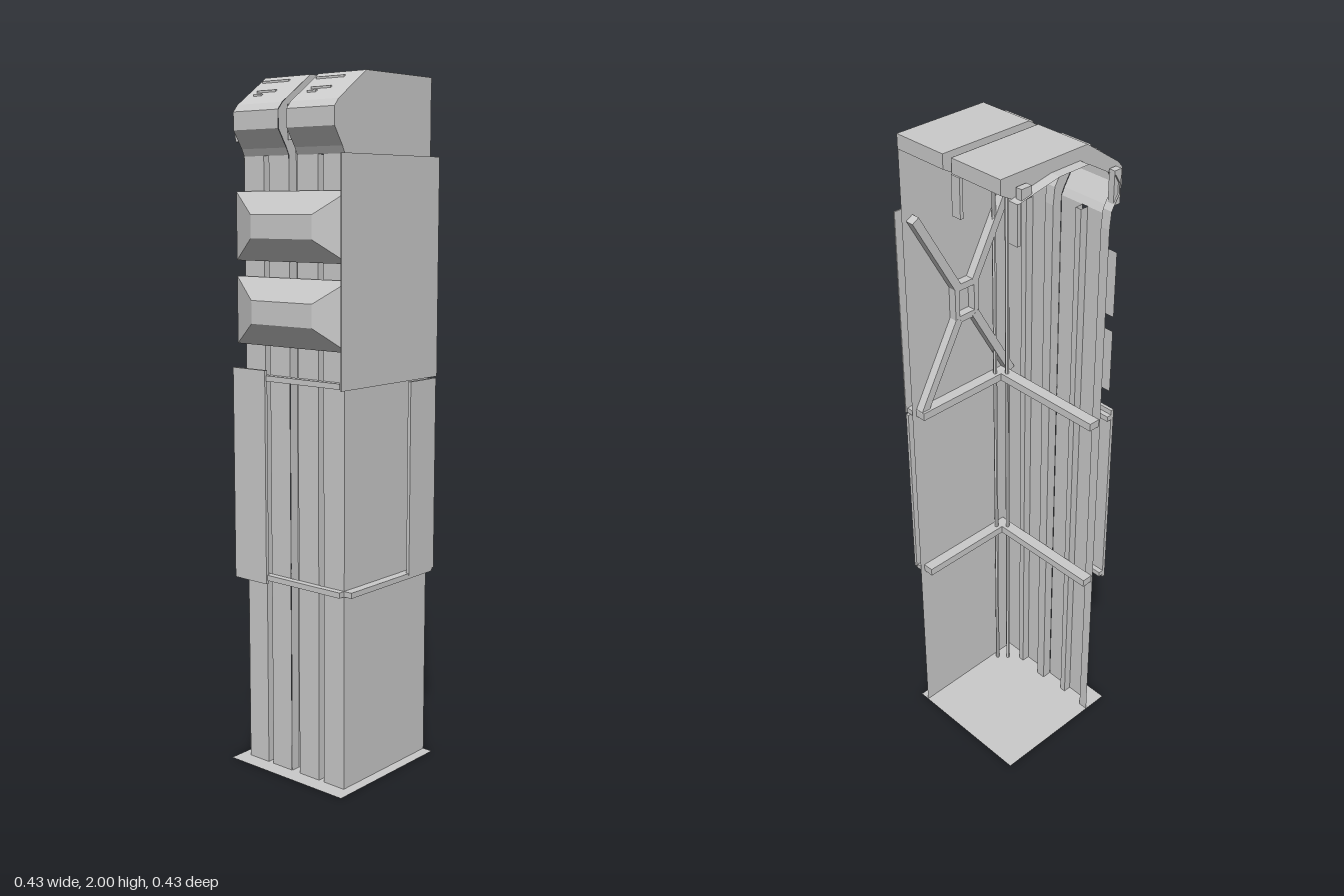
import * as THREE from 'three';

const mat = new THREE.MeshStandardMaterial({ color: 0xcccccc, flatShading: true, side: THREE.DoubleSide });

// Outer skin and recessed channel side profiles as [z, y], matched point by point
const SKIN = [[0.165, 0], [0.165, 1.78], [0.175, 1.80], [0.207, 1.85], [0.207, 1.9], [0.19, 1.92], [0.075, 2], [-0.215, 2], [-0.215, 1.96]];
const GROOVE = [[0.135, 0], [0.135, 1.76], [0.14, 1.81], [0.165, 1.85], [0.165, 1.88], [0.15, 1.905], [0.05, 1.965], [-0.05, 1.965], [-0.18, 1.94]];

export function createModel() {
  const model = new THREE.Group();

  const add = (name, geo, parent = model) => {
    const m = new THREE.Mesh(geo, mat);
    m.name = name;
    parent.add(m);
    return m;
  };
  const group = (name) => {
    const g = new THREE.Group();
    g.name = name;
    model.add(g);
    return g;
  };
  // Box given by its low and high corners
  const box = (name, x0, x1, y0, y1, z0, z1, parent) => {
    const m = add(name, new THREE.BoxGeometry(x1 - x0, y1 - y0, z1 - z0), parent);
    m.position.set((x0 + x1) / 2, (y0 + y1) / 2, (z0 + z1) / 2);
    return m;
  };
  // Sheet between two profiles, each lying at its own x
  const sheet = (name, a, xa, b, xb, parent) => {
    const pos = [];
    for (let i = 0; i < a.length - 1; i++) {
      const A = [xa, a[i][1], a[i][0]], B = [xb, b[i][1], b[i][0]];
      const C = [xb, b[i + 1][1], b[i + 1][0]], D = [xa, a[i + 1][1], a[i + 1][0]];
      pos.push(...A, ...B, ...C, ...A, ...C, ...D);
    }
    const g = new THREE.BufferGeometry();
    g.setAttribute('position', new THREE.Float32BufferAttribute(pos, 3));
    g.computeVertexNormals();
    return add(name, g, parent);
  };

  // Ground plate
  const plate = add('groundPlate', new THREE.PlaneGeometry(0.43, 0.43));
  plate.rotation.x = -Math.PI / 2;

  // Side wall cut to the outline of the head
  const outline = new THREE.Shape([...SKIN.slice(0, 8), [-0.215, 0]].map(([z, y]) => new THREE.Vector2(-z, y)));
  const side = add('sideWall', new THREE.ShapeGeometry(outline));
  side.rotation.y = Math.PI / 2;
  side.position.x = 0.183;

  // Two bays, each with a curved head, two front panels and narrow grooves
  const lower = SKIN.slice(0, 2), head = SKIN.slice(1);
  for (const x of [-0.185, 0.015]) {
    const bay = group('bay');
    const end = x + 0.169;
    sheet('headShell', head, x, head, end, bay);
    sheet('frontPanel', lower, x, lower, x + 0.075, bay);
    sheet('frontPanel', lower, x + 0.094, lower, end, bay);
    // narrow groove between the panels
    const deep = [[0.14, 0], [0.14, 1.78]];
    sheet('narrowGroove', deep, x + 0.075, deep, x + 0.094, bay);
    for (const gx of [x + 0.075, x + 0.094]) sheet('grooveSide', lower, gx, deep, gx, bay);
    // wide channel running up and over the head
    sheet('channelBed', GROOVE, x - 0.03, GROOVE, x, bay);
    sheet('channelSide', SKIN, x, GROOVE, x, bay);
    if (x > 0) sheet('channelSide', SKIN, x - 0.03, GROOVE, x - 0.03, bay);
    // hanging end of the channel and its clips
    box('channelEnd', x - 0.03, x, 1.83, 1.94, -0.19, -0.18, bay);
    box('rearClip', x - 0.025, x - 0.006, 1.94, 1.97, -0.172, -0.138, bay);
    box('frontClip', x - 0.025, x - 0.006, 1.82, 1.915, 0.15, 0.175, bay);
    // slim vents on the sloping face
    [[0.01, 0.11, 1.985], [0.03, 0.1, 1.955], [0.03, 0.06, 1.945]].forEach(([a, b, y]) => {
      const z = 0.19 - (y - 1.92) * 1.44;
      box('vent', x + a, x + b, y - 0.002, y + 0.004, z - 0.004, z + 0.003, bay);
    });
  }

  // Bevelled pods across the front
  for (const y of [1.35, 1.5875]) {
    const g = new THREE.BoxGeometry(0.418, 0.193, 0.043);
    const p = g.attributes.position;
    for (let i = 0; i < p.count; i++) {
      if (p.getZ(i) > 0) p.setXY(i, p.getX(i) * 0.54, p.getY(i) * 0.34);
    }
    g.computeVertexNormals();
    add('frontPod', g).position.set(-0.004, y, 0.192);
  }

  // Stand-off panels on the front and side
  box('frontStandoffPanel', -0.215, -0.09, 0.56, 1.185, 0.18, 0.19);
  box('sideStandoffPanel', 0.202, 0.212, 0.58, 1.15, -0.215, -0.095);
  box('upperSidePanel', 0.211, 0.215, 1.155, 1.78, -0.215, 0.215);

  // Horizontal rails wrapping the corner, outside and inside
  for (const y of [0.578, 1.162]) {
    const rail = group('cornerRail');
    box('outerSideRail', 0.183, 0.21, y - 0.008, y + 0.008, -0.21, 0.165, rail);
    box('outerFrontRail', -0.215, 0.183, y - 0.008, y + 0.008, 0.165, 0.185, rail);
    box('innerSideRail', 0.15, 0.183, y - 0.012, y + 0.012, -0.2, 0.13, rail);
    box('innerFrontRail', -0.21, 0.183, y - 0.012, y + 0.012, 0.1, 0.135, rail);
  }

  // Crossed brace with a square hub inside the side wall
  const brace = group('crossBrace');
  const hubY = 1.465, hubZ = -0.02;
  for (const sy of [-1, 1]) {
    for (const sz of [-1, 1]) {
      const dz = sz * 0.14, dy = sy * 0.25;
      const arm = add('braceArm', new THREE.BoxGeometry(0.025, Math.hypot(dy, dz), 0.025), brace);
      arm.position.set(0.17, hubY + sy * 0.05 + dy / 2, hubZ + sz * 0.03 + dz / 2);
      arm.rotation.x = Math.atan2(dz, dy);
    }
    box('hubBar', 0.158, 0.183, hubY + sy * 0.05 - 0.01, hubY + sy * 0.05 + 0.01, hubZ - 0.04, hubZ + 0.04, brace);
    box('hubPost', 0.158, 0.183, hubY - 0.05, hubY + 0.05, hubZ + sy * 0.035 - 0.008, hubZ + sy * 0.035 + 0.008, brace);
  }

  // Service pipes in the inner corner
  for (const [x, z] of [[0.165, 0.09], [0.14, 0.115]]) {
    add('pipe', new THREE.CylinderGeometry(0.006, 0.006, 1.76, 6)).position.set(x, 0.88, z);
  }
  return model;
}
